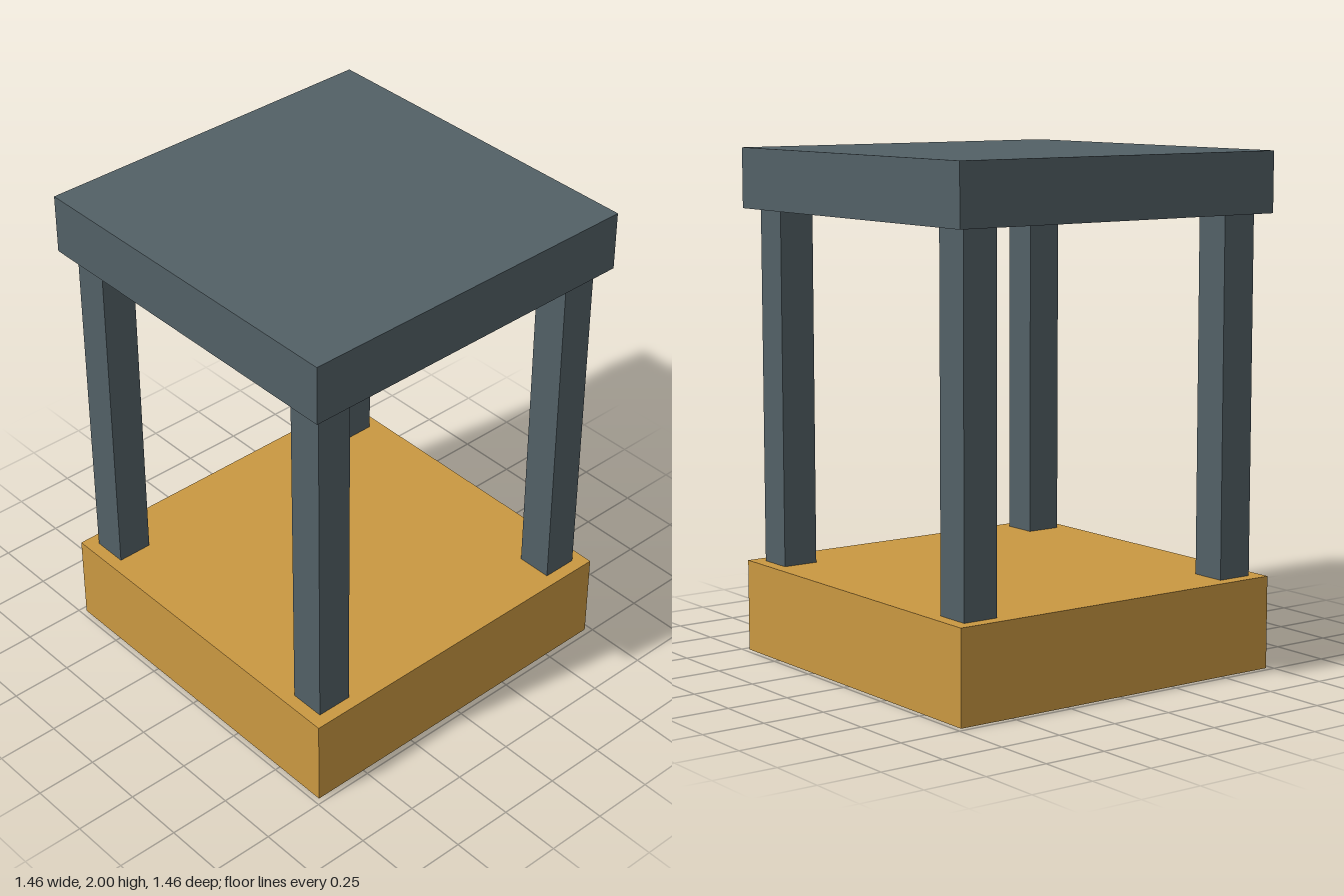
import * as THREE from 'three';

export function createModel() {
  const group = new THREE.Group();
  const slate = new THREE.MeshStandardMaterial({ color: 0x526066 });
  slate.name = 'slate grey';
  const ochre = new THREE.MeshStandardMaterial({ color: 0xca9841 });
  ochre.name = 'ochre';

  const WIDTH = 1.455, BASE_TOP = 0.364, ROOF_BOTTOM = 1.764, HEIGHT = 2;
  const POST_WIDTH = 0.145, POST_OFFSET = 0.604;

  // Square block centred at (x, z), spanning bottom to top
  function block(name, material, width, bottom, top, x = 0, z = 0) {
    const mesh = new THREE.Mesh(new THREE.BoxGeometry(width, top - bottom, width), material);
    mesh.name = name;
    mesh.position.set(x, (bottom + top) / 2, z);
    group.add(mesh);
  }

  // Plinth and flat roof
  block('base', ochre, WIDTH, 0, BASE_TOP);
  block('roof', slate, WIDTH, ROOF_BOTTOM, HEIGHT);

  // Four corner posts
  for (const [sx, side] of [[1, 'Left'], [-1, 'Right']]) {
    for (const [sz, end] of [[1, 'front'], [-1, 'back']]) {
      block(`${end}${side}Post`, slate, POST_WIDTH, BASE_TOP, ROOF_BOTTOM, sx * POST_OFFSET, sz * POST_OFFSET);
    }
  }
  return group;
}
